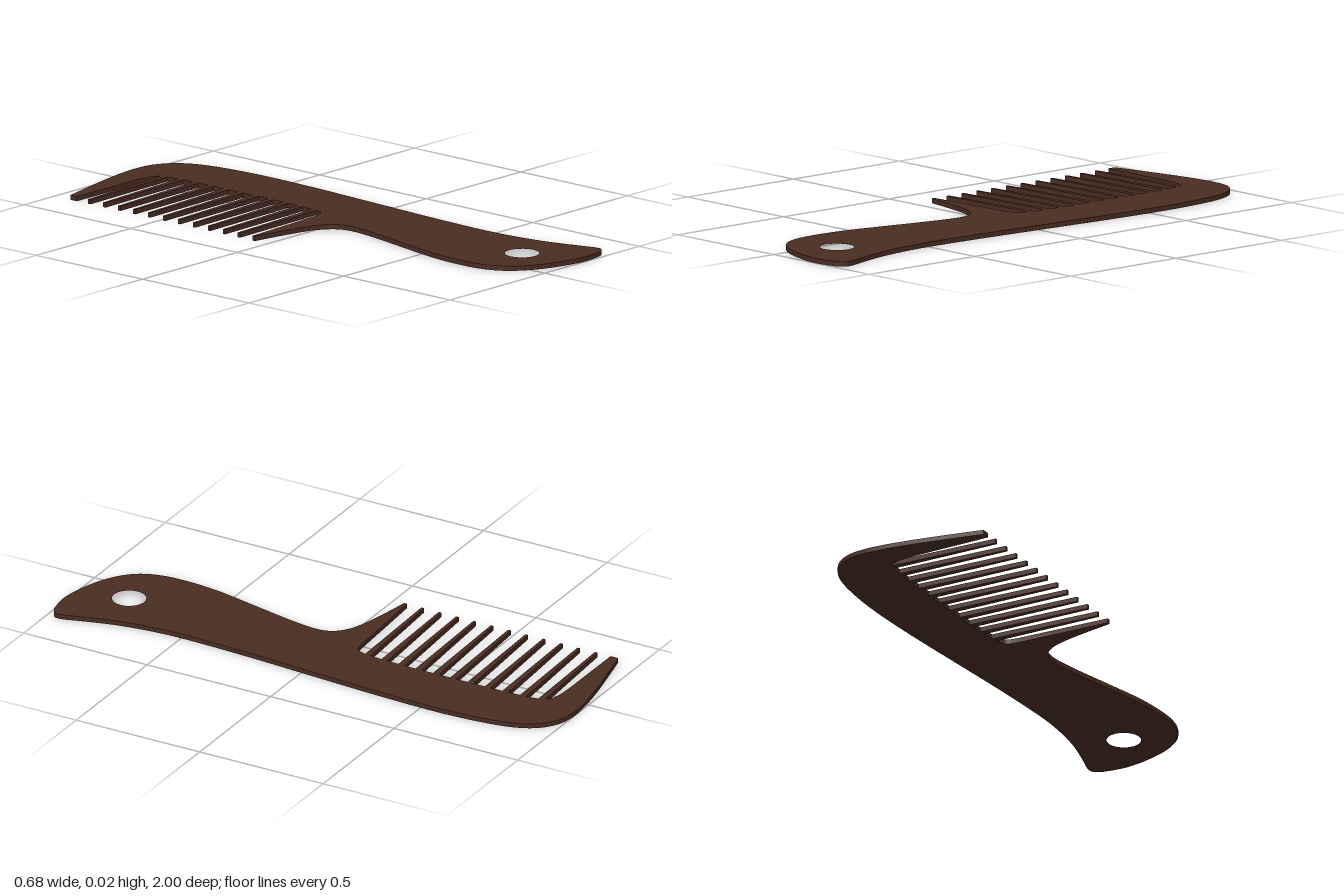
import * as THREE from 'three';
import { toCreasedNormals } from 'three/addons/utils/BufferGeometryUtils.js';

const THICKNESS = 0.017;

// Plan points are [x, z]; shapes are drawn with y = -z and laid flat.
const plan = (points) => points.map(([x, z]) => new THREE.Vector2(x, -z));

function layFlat(shape) {
  const geometry = new THREE.ExtrudeGeometry(shape, {
    depth: THICKNESS, bevelEnabled: false, curveSegments: 10,
  });
  geometry.rotateX(-Math.PI / 2);
  return toCreasedNormals(geometry, 0.6);
}

export function createModel() {
  const brown = new THREE.MeshStandardMaterial({ color: 0x4a2d22 });
  brown.name = 'dark brown';
  const comb = new THREE.Group();
  comb.name = 'comb';

  // Spine, handle and the two end guards in one outline
  const outline = new THREE.Shape();
  outline.moveTo(-0.34, 0.925);
  outline.splineThru(plan([ // back edge, down to the tip of the handle
    [-0.22, -0.952], [-0.08, -0.981], [0.03, -0.997], [0.11, -1], [0.18, -0.986],
    [0.24, -0.943], [0.28, -0.872], [0.303, -0.76], [0.314, -0.58], [0.307, -0.34],
    [0.288, -0.05], [0.27, 0.22], [0.26, 0.46], [0.264, 0.6], [0.283, 0.74],
    [0.315, 0.86], [0.338, 0.935], [0.336, 0.968], [0.31, 0.987],
  ]));
  outline.splineThru(plan([ // handle end, waist and lower guard
    [0.22, 0.998], [0.12, 0.982], [0.02, 0.945], [-0.055, 0.89], [-0.095, 0.82],
    [-0.11, 0.72], [-0.1, 0.57], [-0.065, 0.4], [-0.03, 0.24], [-0.012, 0.12],
    [-0.023, 0.055], [-0.065, 0.012], [-0.13, -0.015], [-0.23, -0.038], [-0.34, -0.058],
  ]));
  outline.lineTo(-0.34, 0.07);
  outline.lineTo(0.02, 0.09);
  outline.splineThru(plan([[0.055, -0.1], [0.071, -0.13], [0.079, -0.19], [0.085, -0.32]]));
  outline.lineTo(0.085, 0.7);
  outline.splineThru(plan([[0.08, -0.79], [0.073, -0.845], [0.055, -0.875], [0.01, -0.889], [-0.06, -0.893]]));
  outline.lineTo(-0.34, 0.894);
  outline.closePath();

  // Hanging hole
  const hole = new THREE.Path();
  hole.absarc(0.108, -0.798, 0.061, 0, Math.PI * 2, true);
  outline.holes.push(hole);

  const body = new THREE.Mesh(layFlat(outline), brown);
  body.name = 'spineAndHandle';
  comb.add(body);

  // Eleven tapered teeth, rooted inside the spine
  const toothGeometry = layFlat(new THREE.Shape(plan([
    [-0.34, -0.005], [-0.34, 0.006], [0.09, -0.004], [0.09, -0.029],
  ])));
  for (let i = 0; i < 11; i++) {
    const tooth = new THREE.Mesh(toothGeometry, brown);
    tooth.name = `tooth${i + 1}`;
    tooth.position.z = -0.836 + i * 0.0702;
    comb.add(tooth);
  }
  return comb;
}
